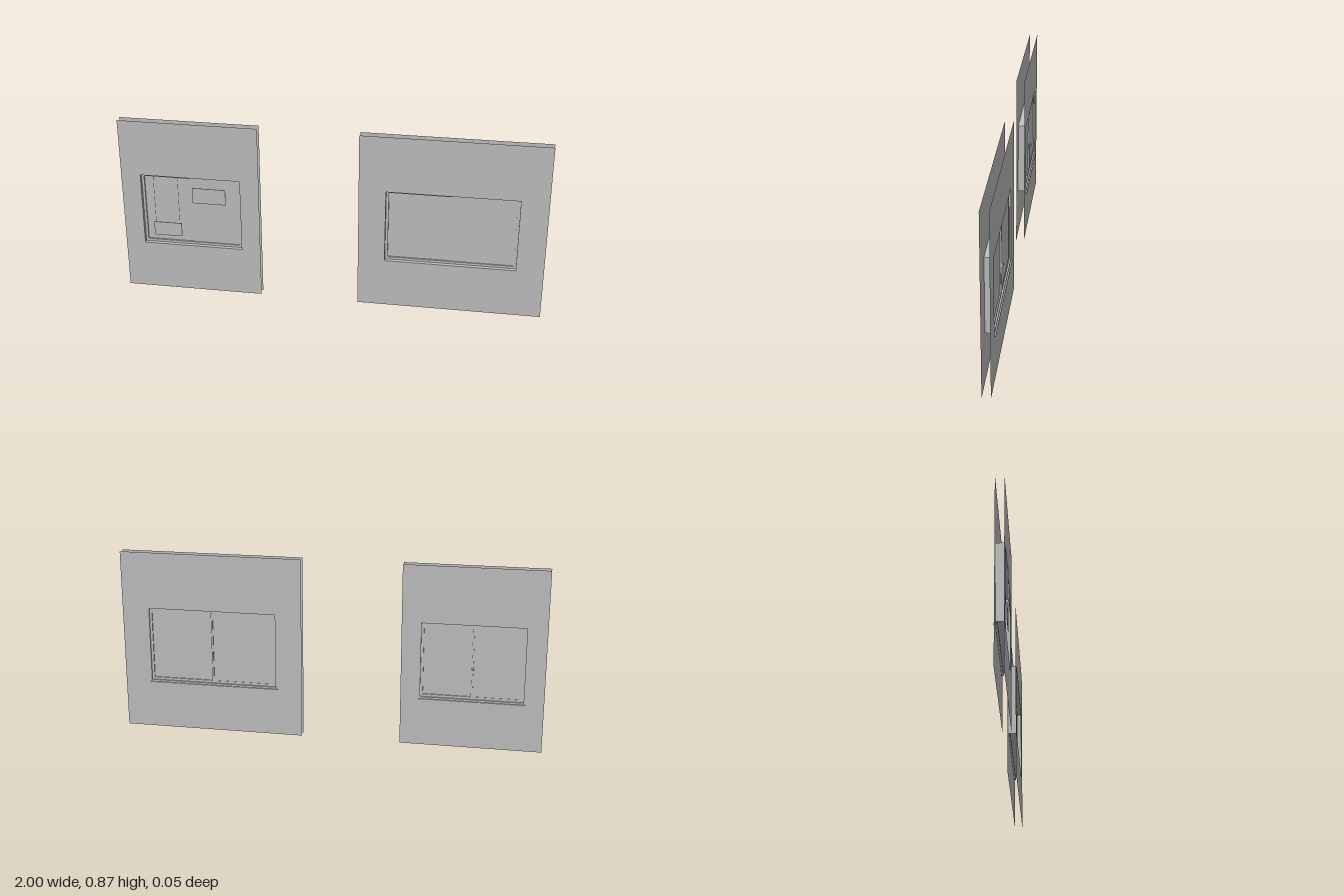
import * as THREE from 'three';

const wallGrey = new THREE.MeshStandardMaterial({ color: 0xc4c4c4, side: THREE.DoubleSide });
wallGrey.name = 'wallGrey';

const FRONT = 0.021, BACK = -0.018;   // z of the two wall skins
const Y0 = 0.237, Y1 = 0.597;         // bottom and top of the openings
const WALL_TOP = 0.868;

function add(group, name, geometry, x = 0, y = 0, z = 0) {
  const mesh = new THREE.Mesh(geometry, wallGrey);
  mesh.name = name;
  mesh.position.set(x, y, z);
  group.add(mesh);
  return mesh;
}

// box given by its limits
function block(group, name, x0, x1, y0, y1, z0, z1) {
  return add(group, name, new THREE.BoxGeometry(x1 - x0, y1 - y0, z1 - z0),
    (x0 + x1) / 2, (y0 + y1) / 2, (z0 + z1) / 2);
}

function rect(Type, x0, x1, y0, y1) {
  return new Type([[x0, y0], [x1, y0], [x1, y1], [x0, y1]].map(p => new THREE.Vector2(...p)));
}

// rectangle with a rectangular opening
function ring(outer, inner) {
  const shape = rect(THREE.Shape, ...outer);
  shape.holes.push(rect(THREE.Path, ...inner));
  return shape;
}

function extruded(shape, depth) {
  return new THREE.ExtrudeGeometry(shape, { depth, bevelEnabled: false });
}

function windowWall(name, wx0, wx1, x0, x1) {
  const g = new THREE.Group();
  g.name = name;
  const opening = [x0, x1, Y0, Y1];
  const mid = (x0 + x1) / 2;
  const skin = ring([wx0, wx1, 0, WALL_TOP], opening);

  // two separate wall skins, each an open sheet
  add(g, 'outerSkin', new THREE.ShapeGeometry(skin), 0, 0, FRONT);
  add(g, 'innerSkin', new THREE.ShapeGeometry(skin), 0, 0, BACK);

  // lining of the opening between the skins
  const t = 0.001;
  add(g, 'reveal', extruded(ring(opening, [x0 + t, x1 - t, Y0 + t, Y1 - t]), FRONT - BACK), 0, 0, BACK);

  // fixed frame, set back from both skins
  const f = 0.013;
  add(g, 'frame', extruded(ring([x0 + t, x1 - t, Y0 + t, Y1 - t], [x0 + f, x1 - f, Y0 + f, Y1 - f]), 0.013), 0, 0, -0.011);

  // two sliding panes, one behind the other
  block(g, 'rearPane', x0 + f, mid + 0.006, Y0 + f, Y1 - f, -0.009, -0.006);
  block(g, 'frontPane', mid - 0.006, x1 - f, Y0 + f, Y1 - f, -0.0055, -0.003);
  block(g, 'meetingStile', mid - 0.004, mid + 0.004, Y0 + f, Y1 - f, -0.014, -0.009);

  // latch on the meeting stile
  block(g, 'latchPlate', mid - 0.003, mid + 0.003, 0.374, 0.396, -0.017, -0.014);
  block(g, 'latchGrip', mid - 0.008, mid + 0.002, 0.38, 0.386, -0.021, -0.017);

  // inner sill board with a small downturned lip
  block(g, 'sill', x0 - 0.009, x1 + 0.007, 0.227, 0.229, -0.023, -0.008);
  block(g, 'sillLip', x0 - 0.009, x1 + 0.007, 0.222, 0.229, -0.024, -0.022);
  return g;
}

export function createModel() {
  const model = new THREE.Group();
  model.name = 'windowWalls';
  const small = windowWall('smallWall', -1, -0.338, -0.908, -0.428);
  const large = windowWall('largeWall', 0.132, 1, 0.257, 0.872);

  // thin panels hung in front of the small window
  block(small, 'lowerPanel', -0.853, -0.718, 0.288, 0.357, 0.023, 0.026);
  block(small, 'upperPanel', -0.658, -0.498, 0.47, 0.548, 0.023, 0.026);
  for (const x of [-0.843, -0.726]) {
    block(small, 'hangingCord', x - 0.0006, x + 0.0006, 0.357, 0.593, 0.024, 0.025);
  }

  model.add(small, large);
  return model;
}
